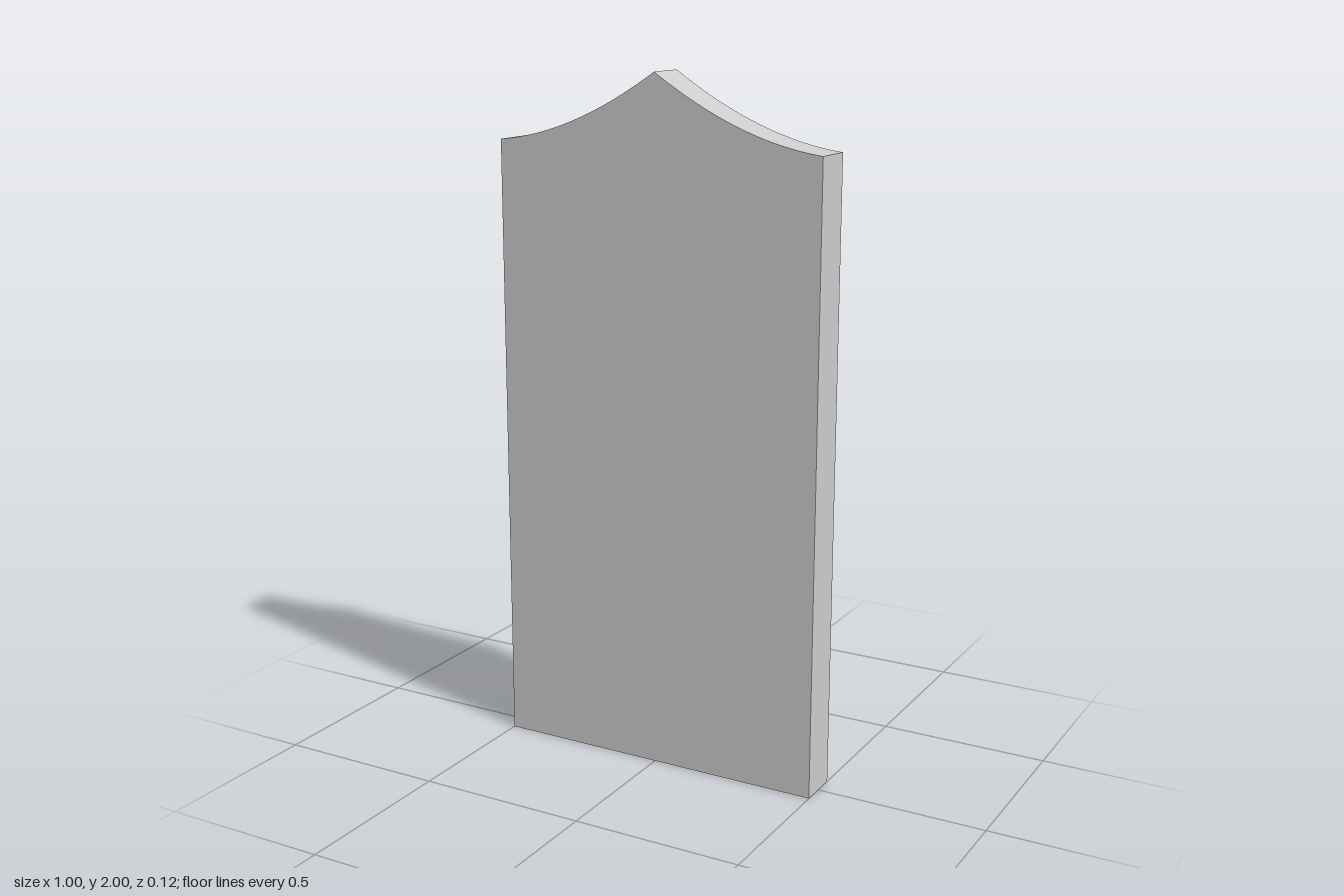
import * as THREE from 'three';
import { toCreasedNormals } from 'three/addons/utils/BufferGeometryUtils.js';

export function createModel() {
  const halfWidth = 0.5, shoulder = 1.8, peak = 2, depth = 0.125;

  // Upright slab outline: two concave sweeps rise to a central point
  const outline = new THREE.Shape();
  outline.moveTo(-halfWidth, 0);
  outline.lineTo(halfWidth, 0);
  outline.lineTo(halfWidth, shoulder);
  outline.quadraticCurveTo(0.26, 1.825, 0, peak);
  outline.quadraticCurveTo(-0.26, 1.825, -halfWidth, shoulder);
  outline.closePath();

  const geometry = new THREE.ExtrudeGeometry(outline, {
    depth, bevelEnabled: false, curveSegments: 24,
  });
  geometry.translate(0, 0, -depth / 2);

  // Smooth along the sweeps, sharp at the corners and the point
  const slab = new THREE.Mesh(
    toCreasedNormals(geometry, Math.PI / 6),
    new THREE.MeshStandardMaterial({ color: 0xcccccc })
  );
  slab.name = 'pointedSlab';

  const model = new THREE.Group();
  model.name = 'pointedPanel';
  model.add(slab);
  return model;
}
